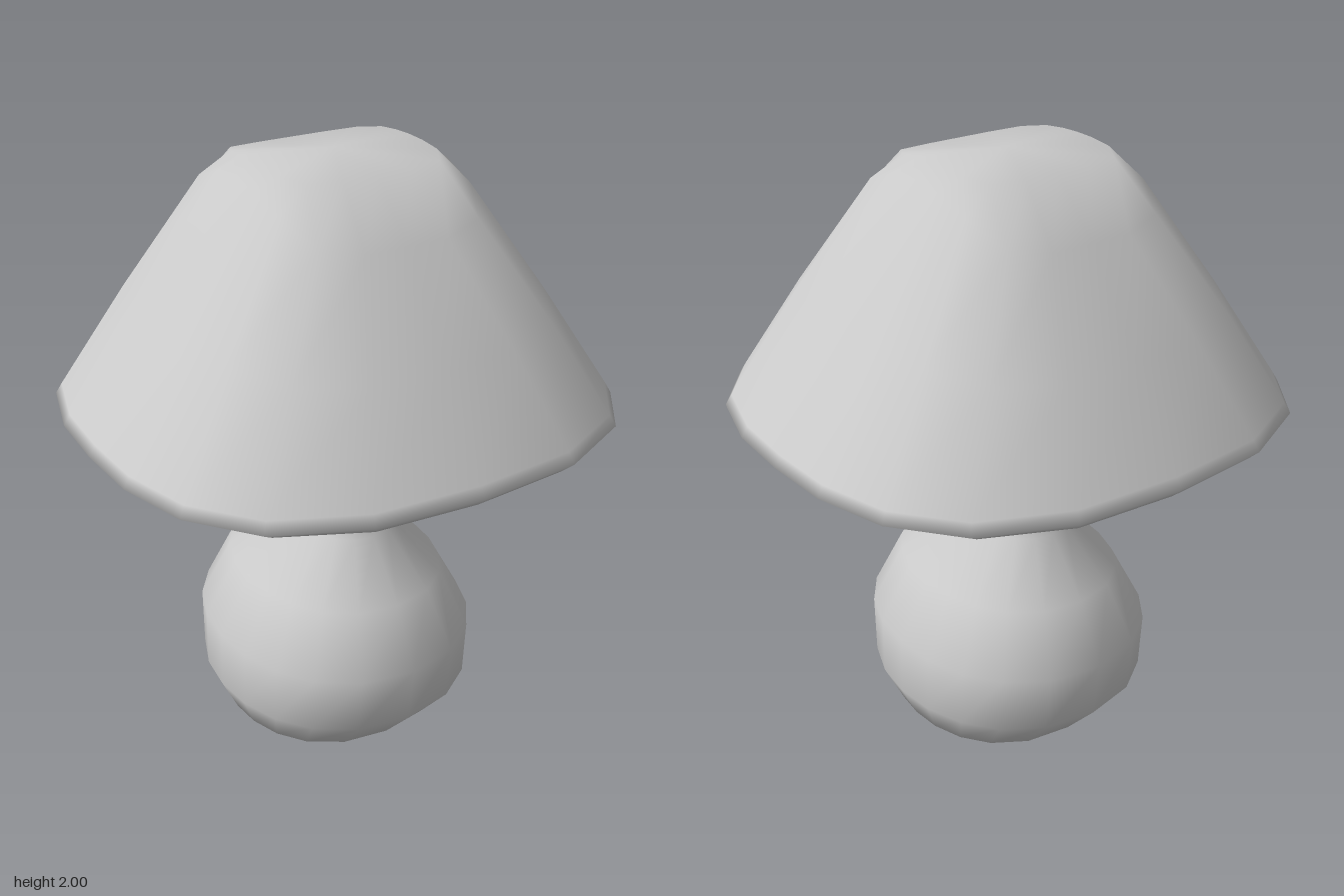
import * as THREE from 'three';
import { mergeVertices } from 'three/addons/utils/BufferGeometryUtils.js';

// Directions round a ring: one quadrant, mirrored to the other three
const QUADRANT = [0, 16, 32, 48, 67];
const ANGLES = [
  ...QUADRANT,
  90, ...QUADRANT.slice(1).reverse().map((a) => 180 - a),
  ...QUADRANT.map((a) => 180 + a),
  270, ...QUADRANT.slice(1).reverse().map((a) => 360 - a),
].map(THREE.MathUtils.degToRad);

// Skin through rounded-square rings: [half width x, half depth z, y at sides, y at front/back, squareness]
function loft(rings) {
  const n = ANGLES.length, pos = [], index = [];
  for (const [rx, rz, ySide, yFront, power] of rings) {
    for (const a of ANGLES) {
      const c = Math.cos(a), s = Math.sin(a);
      const r = (Math.abs(c) ** power + Math.abs(s) ** power) ** (-1 / power);
      const w = (r * s) ** 2;
      pos.push(rx * r * c, ySide + (yFront - ySide) * w, rz * r * s);
    }
  }
  for (let k = 0; k < rings.length - 1; k++) {
    for (let i = 0; i < n; i++) {
      const j = (i + 1) % n;
      const a = k * n + i, b = k * n + j, c = a + n, d = b + n;
      if (rings[k][0] > 0) index.push(a, c, b);
      if (rings[k + 1][0] > 0) index.push(b, c, d);
    }
  }
  let geo = new THREE.BufferGeometry();
  geo.setAttribute('position', new THREE.Float32BufferAttribute(pos, 3));
  geo.setIndex(index);
  geo = mergeVertices(geo); // joins the points at each pole
  geo.computeVertexNormals();
  return geo;
}

export function createModel() {
  const group = new THREE.Group();
  const material = new THREE.MeshStandardMaterial({ color: 0xcccccc, side: THREE.DoubleSide });
  const add = (name, rings) => {
    const mesh = new THREE.Mesh(loft(rings), material);
    mesh.name = name;
    group.add(mesh);
  };

  // Bulb, narrow neck and flare up into the cap
  add('stem', [
    [0, 0, 0, 0, 2],
    [0.23, 0.14, 0.02, 0.005, 2.2],
    [0.39, 0.35, 0.08, 0.05, 2.2],
    [0.445, 0.48, 0.2, 0.2, 2.1],
    [0.44, 0.5, 0.4, 0.4, 2.1],
    [0.33, 0.4, 0.6, 0.6, 2.2],
    [0.16, 0.25, 0.78, 0.78, 2.4],
    [0.145, 0.225, 0.95, 0.94, 2.4],
    [0.16, 0.25, 1.07, 1.05, 2.4],
    [0.23, 0.31, 1.17, 1.17, 2.4],
    [0.36, 0.41, 1.28, 1.28, 2.5],
  ]);

  // Hollow underside, rim, sloping sides and arched top
  add('cap', [
    [0.36, 0.41, 1.28, 1.28, 2.5],
    [0.59, 0.58, 1.28, 1.28, 2.6],
    [0.7, 0.68, 1.18, 1.18, 2.7],
    [0.79, 0.78, 1.17, 1.17, 2.7],
    [0.84, 0.81, 1.195, 1.2, 2.7],
    [0.82, 0.79, 1.23, 1.235, 2.7],
    [0.585, 0.61, 1.58, 1.51, 3.2],
    [0.33, 0.4, 1.96, 1.81, 5],
    [0.27, 0.24, 2, 1.975, 6],
    [0, 0, 2, 2, 2],
  ]);
  return group;
}
